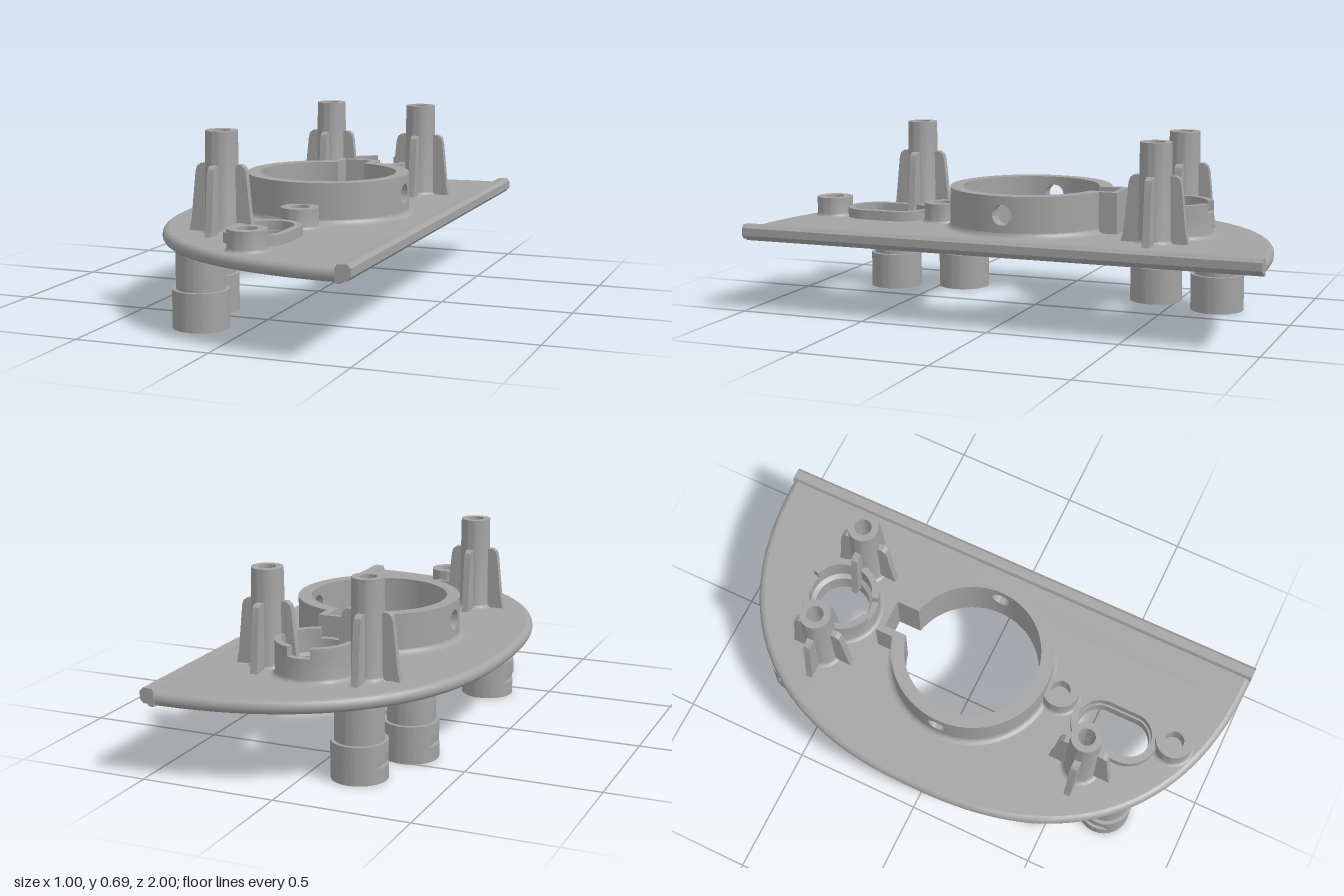
import * as THREE from 'three';
import { toCreasedNormals } from 'three/addons/utils/BufferGeometryUtils.js';

const PI = Math.PI;
const BOTTOM = 0.27, TOP = 0.32;
const CX = 0.04, R_OUT = 0.31, R_IN = 0.26, RING_TOP = 0.475;
const grey = new THREE.MeshStandardMaterial({ color: 0xa3a3a3 });
grey.name = 'grey plastic';

function add(parent, name, geometry, x = 0, y = 0, z = 0) {
  const mesh = new THREE.Mesh(toCreasedNormals(geometry, 0.6), grey);
  mesh.name = name;
  mesh.position.set(x, y, z);
  parent.add(mesh);
  return mesh;
}

// Plan shape (drawn in x, -z) raised from y0 to y1
function raise(shape, y0, y1) {
  return new THREE.ExtrudeGeometry(shape, { depth: y1 - y0, bevelEnabled: false, curveSegments: 40 })
    .rotateX(-PI / 2).translate(0, y0, 0);
}

const lathe = (pts, start = 0, length = 2 * PI) =>
  new THREE.LatheGeometry(pts.map(([r, y]) => new THREE.Vector2(r, y)), 48, start, length);

// Concave fillet around a round foot
const fillet = (r, s) => [[r + s, TOP], [r + s * 0.5, TOP + s * 0.13], [r + s * 0.13, TOP + s * 0.5], [r, TOP + s]];

// Surface through rows of points
function grid(rows, closed) {
  const m = rows[0].length, n = rows.length, index = [];
  for (let i = 0; i < (closed ? n : n - 1); i++) {
    for (let j = 0; j < (closed ? m : m - 1); j++) {
      const i2 = (i + 1) % n, j2 = (j + 1) % m;
      const a = i * m + j, b = i2 * m + j, c = i2 * m + j2, d = i * m + j2;
      index.push(a, b, c, a, c, d);
    }
  }
  const g = new THREE.BufferGeometry();
  g.setAttribute('position', new THREE.Float32BufferAttribute(rows.flat(2), 3));
  g.setIndex(index);
  return g;
}

function circle(r, Path = THREE.Path, x = 0, y = 0) {
  return new Path().absarc(x, y, r, 0, 2 * PI, false);
}

function stadium(r, half, x, y, Path = THREE.Path) {
  return new Path().absarc(x, y + half, r, 0, PI, false).absarc(x, y - half, r, PI, 2 * PI, false).closePath();
}

function arcBand(x, y, rOut, rIn, a0, a1) {
  return new THREE.Shape().absarc(x, y, rOut, a0, a1, false).absarc(x, y, rIn, a1, a0, true).closePath();
}

// Half-oval base plate with a rounded rim
function basePlate(parent) {
  const N = 96, limit = Math.acos(Math.pow(0.04, 1.2));
  const edge = [];
  for (let i = 0; i <= N; i++) {
    const t = -limit + 2 * limit * i / N;
    edge.push([0.5 - Math.pow(Math.cos(t), 1 / 1.2), Math.sign(t) * Math.pow(Math.abs(Math.sin(t)), 1 / 1.2)]);
  }
  const inset = (i, d) => {
    const p = edge[Math.max(i - 1, 0)], q = edge[Math.min(i + 1, N)];
    const tx = q[0] - p[0], tz = q[1] - p[1], l = Math.hypot(tx, tz);
    return [edge[i][0] + d * tz / l, edge[i][1] - d * tx / l];
  };
  const profile = [];
  for (let k = 0; k <= 8; k++) {
    const a = -PI / 2 + PI * k / 8;
    profile.push([0.022 * (1 - Math.cos(a)), (BOTTOM + TOP) / 2 + 0.025 * Math.sin(a)]);
  }
  const rim = edge.map((_, i) => profile.map(([d, y]) => {
    const [x, z] = inset(i, d);
    return [x, y, z];
  }));
  add(parent, 'plateRim', grid(rim, false));

  const shape = new THREE.Shape(edge.map((_, i) => {
    const [x, z] = inset(i, 0.022);
    return new THREE.Vector2(x, -z);
  }));
  const s = Math.asin(0.055 / R_IN);
  const keyhole = new THREE.Path().absarc(CX, 0, R_IN, PI / 2 + s, PI / 2 - s, false);
  keyhole.lineTo(CX + 0.055, 0.345).lineTo(CX - 0.055, 0.345).closePath();
  shape.holes.push(keyhole, circle(0.105, THREE.Path, 0.04, 0.565), stadium(0.08, 0.06, 0.028, -0.605));
  add(parent, 'basePlate', raise(shape, BOTTOM, TOP));

  // Bead along the straight edge
  const bead = new THREE.Shape([[0.445, 0.32], [0.452, 0.333], [0.487, 0.335], [0.5, 0.322], [0.5, 0.293],
    [0.487, 0.279], [0.472, 0.279], [0.465, 0.27], [0.445, 0.27]].map(p => new THREE.Vector2(...p)));
  add(parent, 'edgeBead', new THREE.ExtrudeGeometry(bead, { depth: 2, bevelEnabled: false }), 0, 0, -1);
}

// Wall section with a round cross hole, bent to the ring radius
function piercedWall(a) {
  const rows = [], M = 48;
  const steps = [1, 0.66, 0.33, 0].map(t => [R_OUT, t]).concat([0, 0.33, 0.66, 1].map(t => [R_IN, t]));
  for (const [r, t] of steps) {
    rows.push(Array.from({ length: M }, (_, j) => {
      const c = Math.cos(2 * PI * j / M), s = Math.sin(2 * PI * j / M), m = Math.max(Math.abs(c), Math.abs(s));
      const u = THREE.MathUtils.lerp(0.038 * c / r, a * c / m, t);
      const y = THREE.MathUtils.lerp(0.405 + 0.038 * s, (TOP + RING_TOP) / 2 + (RING_TOP - TOP) / 2 * s / m, t);
      return [r * Math.cos(u), y, r * Math.sin(u)];
    }));
  }
  return grid(rows, true);
}

// Large collar with keyway
function largeCollar(parent) {
  const a = 0.3, so = Math.asin(0.083 / R_OUT), si = Math.asin(0.055 / R_IN);
  const back = new THREE.Shape().absarc(CX, 0, R_OUT, a, PI / 2 - so, false);
  back.lineTo(CX + 0.083, 0.37).lineTo(CX - 0.083, 0.37);
  back.absarc(CX, 0, R_OUT, PI / 2 + so, PI - a, false).absarc(CX, 0, R_IN, PI - a, PI / 2 + si, true);
  back.lineTo(CX - 0.055, 0.345).lineTo(CX + 0.055, 0.345);
  back.absarc(CX, 0, R_IN, PI / 2 - si, a, true).closePath();
  add(parent, 'collarBackWithKeyway', raise(back, TOP, RING_TOP));
  add(parent, 'collarFront', raise(arcBand(CX, 0, R_OUT, R_IN, PI + a, 2 * PI - a), TOP, RING_TOP));
  for (const turn of [0, PI]) add(parent, 'collarPiercedSide', piercedWall(a), CX).rotation.y = turn;
  add(parent, 'collarFillet', lathe(fillet(R_OUT, 0.02), PI + so, 2 * PI - 2 * so), CX);
}

// Small collar with an inner lip and two notches
function smallCollar(parent) {
  const x = 0.04, z = -0.565;
  add(parent, 'smallCollar', lathe([...fillet(0.147, 0.015), [0.147, 0.41], [0.122, 0.41],
    [0.122, 0.36], [0.105, 0.35], [0.105, TOP]]), x, 0, z);
  for (const mid of [0, PI]) {
    add(parent, 'smallCollarRim', raise(arcBand(x, -z, 0.147, 0.122, mid - PI / 2 + 0.3, mid + PI / 2 - 0.3), 0.41, 0.447));
  }
}

// Hollow post with four tapered ribs
function post(x, z) {
  const g = new THREE.Group();
  g.name = 'ribbedPost';
  add(g, 'postTube', lathe([...fillet(0.062, 0.015), [0.058, 0.685], [0.032, 0.685], [0.032, 0.45], [0, 0.45]]));
  const rib = new THREE.Shape([[0.03, TOP], [0.125, TOP], [0.116, 0.36], [0.098, 0.535], [0.092, 0.555], [0.078, 0.565],
    [0.03, 0.565]].map(p => new THREE.Vector2(...p)));
  for (let i = 0; i < 4; i++) {
    const geo = new THREE.ExtrudeGeometry(rib, { depth: 0.026, bevelEnabled: false }).translate(0, 0, -0.013);
    add(g, 'postRib', geo).rotation.y = i * PI / 2;
  }
  g.position.set(x, 0, z);
  return g;
}

// Stepped foot with a centre hole and a flat slot on its outer side
function foot(x, z) {
  const g = new THREE.Group();
  g.name = 'foot';
  const disc = circle(0.102, THREE.Shape);
  const cut = Math.acos(0.087 / 0.102);
  const slotted = new THREE.Shape().absarc(0, 0, 0.102, PI + cut, PI - cut, false).closePath();
  for (const s of [disc, slotted]) s.holes.push(circle(0.028));
  add(g, 'footBase', raise(disc, 0, 0.055));
  add(g, 'footSlot', raise(slotted, 0.055, 0.1));
  add(g, 'footShoulder', raise(disc, 0.1, 0.14));
  add(g, 'footNeck', raise(circle(0.088, THREE.Shape), 0.139, BOTTOM + 0.005));
  g.position.set(x, 0, z);
  return g;
}

export function createModel() {
  const model = new THREE.Group();
  model.name = 'mountingPlate';
  basePlate(model);
  largeCollar(model);
  smallCollar(model);

  // Raised rim of the oval opening
  const oval = stadium(0.117, 0.055, 0.028, -0.605, THREE.Shape);
  oval.holes.push(stadium(0.088, 0.058, 0.028, -0.605));
  add(model, 'ovalRim', raise(oval, TOP, 0.357));

  // Screw bosses
  for (const z of [0.36, 0.83]) {
    add(model, 'screwBoss', lathe([...fillet(0.07, 0.012), [0.07, 0.395], [0.036, 0.395], [0.036, 0.33], [0, 0.33]]), 0.068, 0, z);
  }
  for (const [x, z] of [[-0.155, -0.55], [0.235, -0.55], [-0.155, 0.545]]) model.add(post(x, z));
  for (const side of [-1, 1]) model.add(foot(-0.178, side * 0.68), foot(-0.262, side * 0.412));
  return model;
}
